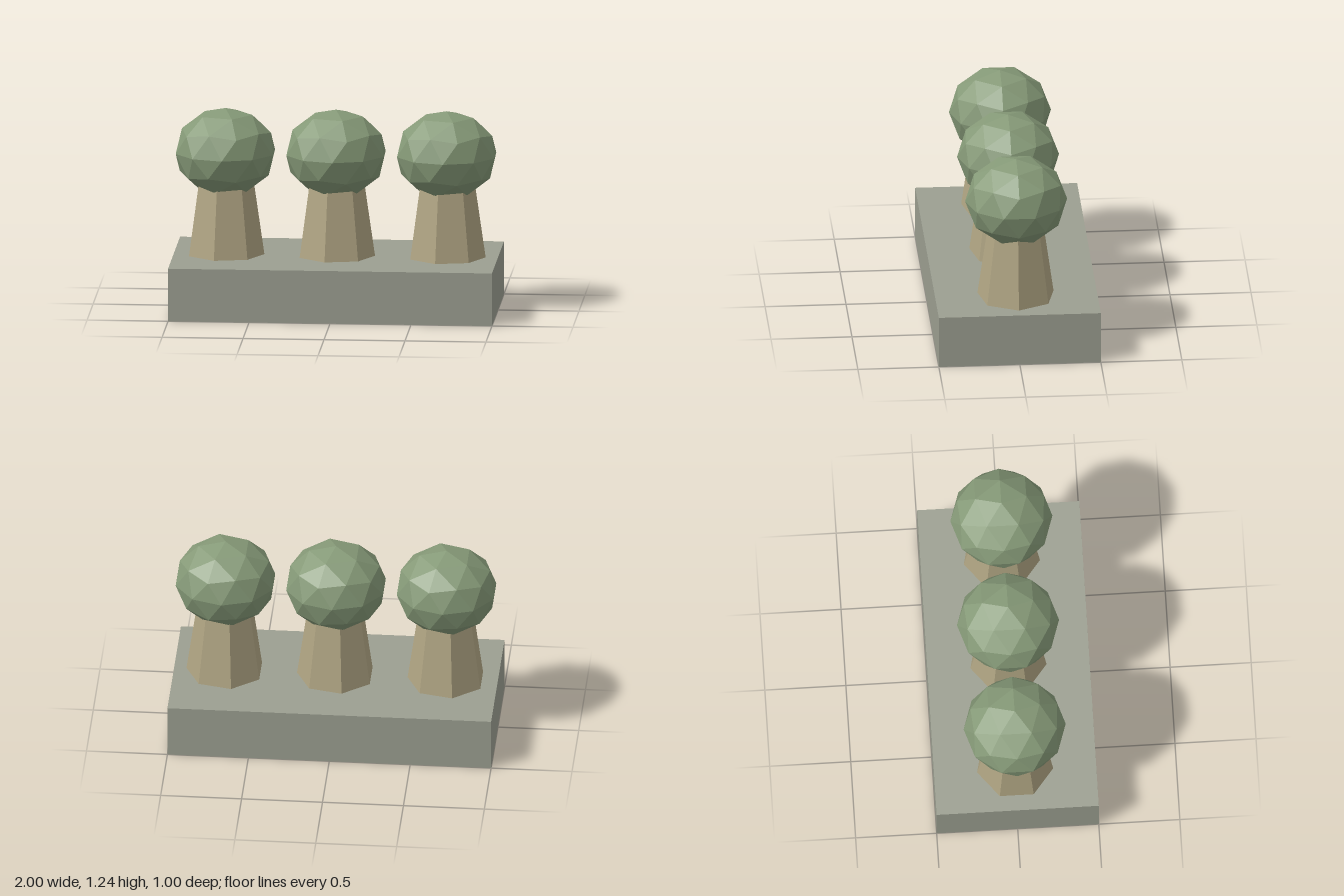
import * as THREE from 'three';

const stone = new THREE.MeshStandardMaterial({ color: 0x9c9f91 });
stone.name = 'greyStone';
const bark = new THREE.MeshStandardMaterial({ color: 0xb0a583 });
bark.name = 'paleBark';
const leaf = new THREE.MeshStandardMaterial({ color: 0x869a78 });
leaf.name = 'sageLeaf';
for (const m of [stone, bark, leaf]) m.flatShading = true;

const SLAB_HEIGHT = 0.33;
const TRUNK_HEIGHT = 0.5;
const SPACING = 0.683;

function part(name, geometry, material, y) {
  const mesh = new THREE.Mesh(geometry, material);
  mesh.name = name;
  mesh.position.y = y;
  return mesh;
}

// Seven-sided tapered trunk with one corner towards +x
const trunkGeometry = new THREE.CylinderGeometry(0.169, 0.241, TRUNK_HEIGHT, 7, 1, false, Math.PI / 2);

// Faceted ball turned so one five-way corner points straight up, then flattened
const crownGeometry = new THREE.IcosahedronGeometry(0.315, 1);
crownGeometry.rotateZ(-Math.atan(2 / (1 + Math.sqrt(5))));
crownGeometry.scale(1, 0.87, 1);

function createTree(name, x) {
  const tree = new THREE.Group();
  tree.name = name;
  tree.position.set(x, SLAB_HEIGHT, 0);
  tree.add(part('trunk', trunkGeometry, bark, TRUNK_HEIGHT / 2));
  tree.add(part('crown', crownGeometry, leaf, 0.64));
  return tree;
}

export function createModel() {
  const model = new THREE.Group();
  model.name = 'treeRow';
  model.add(part('slab', new THREE.BoxGeometry(2, SLAB_HEIGHT, 1), stone, SLAB_HEIGHT / 2));
  ['rightTree', 'middleTree', 'leftTree'].forEach((name, i) => {
    model.add(createTree(name, (i - 1) * SPACING));
  });
  return model;
}
